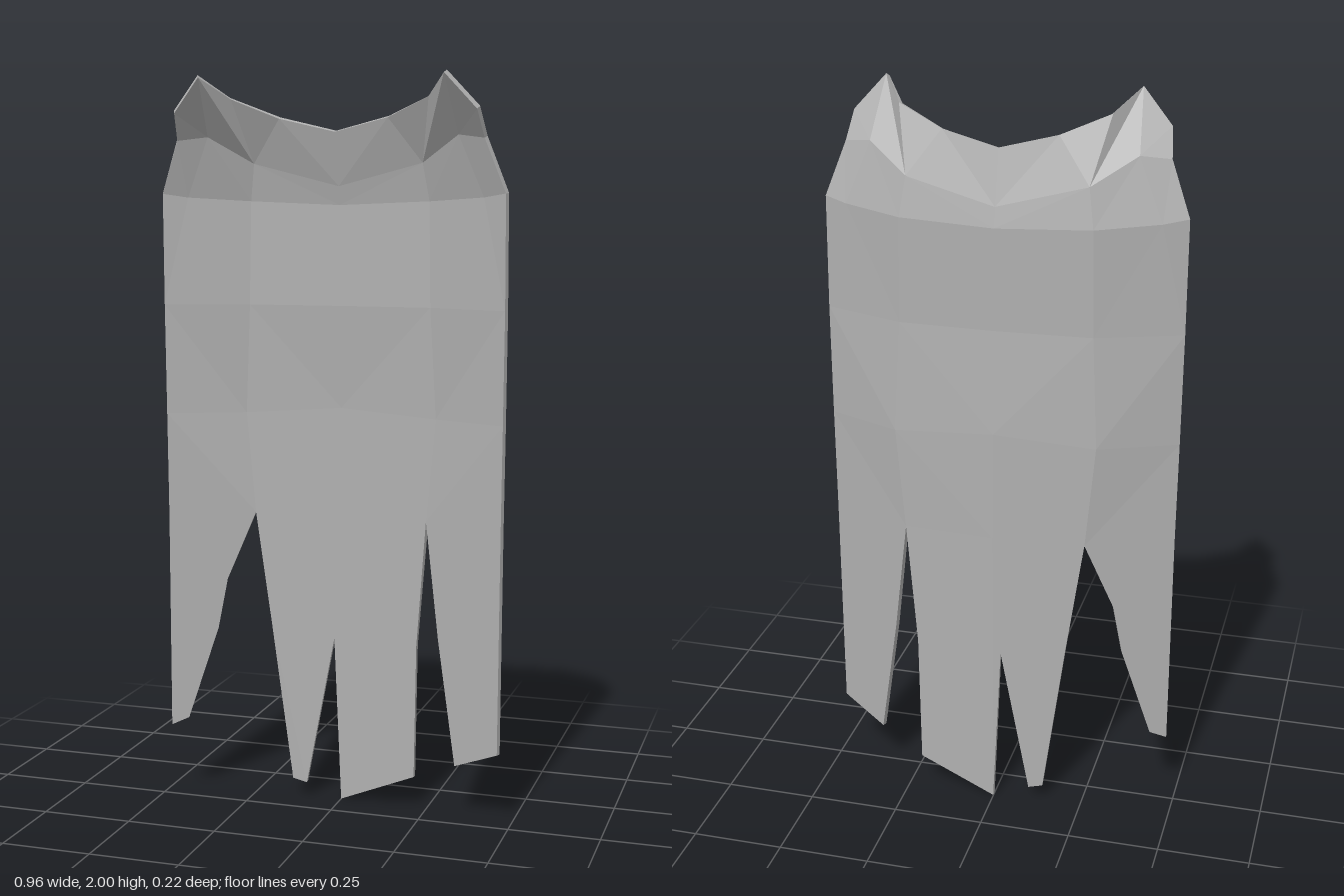
import * as THREE from 'three';

const THICKNESS = 0.014;

// Half rows from the outer edge to the centre: [x, y, z]; repeated points close a column
const HALF_ROWS = [
  [[0.41, 1.91, 0.08], [0.33, 2.0, 0.108], [0.27, 1.947, 0.025], [0.15, 1.897, -0.017], [0, 1.862, -0.035]],
  [[0.42, 1.84, 0.036], [0.345, 1.85, 0.005], [0.235, 1.78, -0.055], [0.235, 1.78, -0.055], [0, 1.72, -0.07]],
  [[0.473, 1.7, 0.015], [0.41, 1.69, -0.012], [0.25, 1.68, -0.072], [0.25, 1.68, -0.072], [0, 1.67, -0.08]],
  [[0.474, 1.4, 0.01], [0.474, 1.4, 0.01], [0.255, 1.4, -0.07], [0.255, 1.4, -0.07], [0, 1.4, -0.078]],
  [[0.472, 1.1, 0.008], [0.472, 1.1, 0.008], [0.27, 1.1, -0.08], [0.27, 1.1, -0.08], [0, 1.12, -0.096]],
  [[0.47, 0.82, 0.007], [0.47, 0.82, 0.007], [0.245, 0.82, -0.081], [0.245, 0.82, -0.081], [0, 0.82, -0.097]],
];

// Torn strips below the last row, as [x, y] outlines
const STRIPS = [
  [[-0.47, 0.82], [-0.47, 0.21], [-0.425, 0.23], [-0.345, 0.49], [-0.32, 0.63], [-0.245, 0.82]],
  [[-0.245, 0.82], [-0.2, 0.5], [-0.14, 0.055], [-0.1, 0.045], [-0.02, 0.47], [0, 0.82]],
  [[0, 0.82], [-0.02, 0.47], [0, 0.005], [0.215, 0.095], [0.22, 0.47], [0.245, 0.82]],
  [[0.245, 0.82], [0.285, 0.5], [0.34, 0.152], [0.468, 0.21], [0.47, 0.82]],
];

// Depth of the hanging strips follows the folded plan of the cloth
function stripDepth(x) {
  const a = Math.abs(x);
  return a < 0.245 ? -0.097 + (a / 0.245) * 0.016 : -0.081 + ((a - 0.245) / 0.225) * 0.088;
}

function createCloth() {
  const points = [], faces = [], lookup = new Map();
  const vertex = (p) => {
    const key = p.map((v) => Math.round(v * 1000)).join();
    if (!lookup.has(key)) {
      lookup.set(key, points.length);
      points.push(new THREE.Vector3(...p));
    }
    return lookup.get(key);
  };
  const face = (a, b, c) => {
    if (a !== b && b !== c && c !== a) faces.push([a, b, c]);
  };

  // Upper cloth, mirrored across the centre
  const rows = HALF_ROWS.map((half) => [
    ...half.map(([x, y, z]) => vertex([-x, y, z])),
    ...half.slice(0, -1).reverse().map((p) => vertex(p)),
  ]);
  for (let r = 0; r < rows.length - 1; r++) {
    for (let c = 0; c < 8; c++) {
      const a = rows[r][c], b = rows[r][c + 1], d = rows[r + 1][c], e = rows[r + 1][c + 1];
      if (c < 4) {
        face(a, d, e);
        face(a, e, b);
      } else {
        face(a, d, b);
        face(b, d, e);
      }
    }
  }

  // Torn strips
  for (const outline of STRIPS) {
    const ids = outline.map(([x, y]) => vertex([x, y, stripDepth(x)]));
    const contour = outline.map(([x, y]) => new THREE.Vector2(x, y));
    for (const [a, b, c] of THREE.ShapeUtils.triangulateShape(contour, [])) face(ids[a], ids[b], ids[c]);
  }

  // Back side, offset against the averaged normals
  const normals = points.map(() => new THREE.Vector3());
  for (const f of faces) {
    const [a, b, c] = f.map((i) => points[i]);
    const n = b.clone().sub(a).cross(c.clone().sub(a));
    f.forEach((i) => normals[i].add(n));
  }
  const back = points.map((p, i) => p.clone().addScaledVector(normals[i].normalize(), -THICKNESS));

  const positions = [];
  const triangle = (...corners) => corners.forEach((p) => positions.push(p.x, p.y, p.z));
  const edges = new Set(faces.flatMap(([a, b, c]) => [`${a},${b}`, `${b},${c}`, `${c},${a}`]));
  for (const f of faces) {
    const [a, b, c] = f;
    triangle(points[a], points[b], points[c]);
    triangle(back[a], back[c], back[b]);
    // Rim along open edges
    for (const [i, j] of [[a, b], [b, c], [c, a]]) {
      if (edges.has(`${j},${i}`)) continue;
      triangle(points[i], back[i], back[j]);
      triangle(points[i], back[j], points[j]);
    }
  }
  const geometry = new THREE.BufferGeometry();
  geometry.setAttribute('position', new THREE.Float32BufferAttribute(positions, 3));
  geometry.computeVertexNormals();
  return geometry;
}

export function createModel() {
  const group = new THREE.Group();
  group.name = 'tatteredCape';
  const material = new THREE.MeshStandardMaterial({ color: 0xb0b0b0 });
  material.name = 'grey cloth';
  const cape = new THREE.Mesh(createCloth(), material);
  cape.name = 'capeCloth';
  group.add(cape);
  return group;
}
